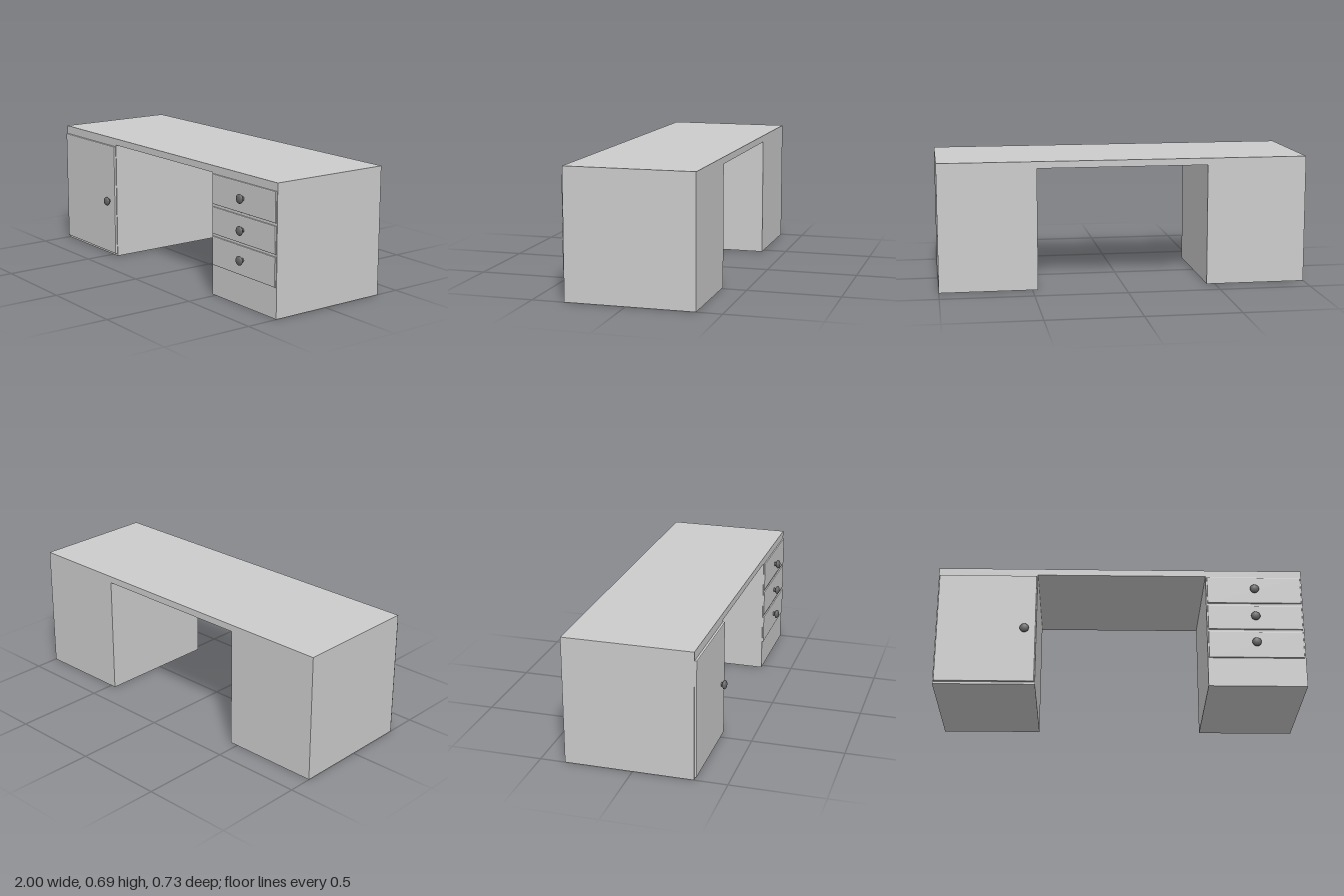
import * as THREE from 'three';

const grey = new THREE.MeshStandardMaterial({ color: 0xcccccc });
const dark = new THREE.MeshStandardMaterial({ color: 0x666666 });
const BACK = -0.365, FRONT = 0.325;

function add(parent, name, geometry, material = grey) {
  const mesh = new THREE.Mesh(geometry, material);
  mesh.name = name;
  parent.add(mesh);
  return mesh;
}

// Flat panel on the front face with a chamfered rim
function panel(parent, name, x0, x1, y0, y1, depth) {
  const b = 0.005;
  const shape = new THREE.Shape([
    new THREE.Vector2(x0 + b, y0 + b), new THREE.Vector2(x1 - b, y0 + b),
    new THREE.Vector2(x1 - b, y1 - b), new THREE.Vector2(x0 + b, y1 - b),
  ]);
  const geo = new THREE.ExtrudeGeometry(shape, {
    depth: depth - b, bevelEnabled: true, bevelThickness: b, bevelSize: b, bevelSegments: 2,
  });
  add(parent, name, geo).position.z = FRONT;
}

// Turned knob: thin stem with a flattened ball
function knob(parent, name, x, y) {
  const points = [[0.014, 0], [0.012, 0.004], [0.012, 0.019]];
  for (let i = 0; i <= 12; i++) {
    const a = -Math.PI / 3 + (i / 12) * (Math.PI * 5 / 6);
    points.push([Math.max(0, 0.025 * Math.cos(a)), 0.029 + 0.0125 * Math.sin(a)]);
  }
  const geo = new THREE.LatheGeometry(points.map(p => new THREE.Vector2(...p)), 32);
  geo.rotateX(Math.PI / 2);
  add(parent, name, geo, dark).position.set(x, y, FRONT);
}

export function createModel() {
  const desk = new THREE.Group();
  desk.name = 'desk';

  // Carcass: one arch-shaped outline covers both pedestals and the top
  const outline = new THREE.Shape([
    [-1, 0], [-0.455, 0], [-0.455, 0.658], [0.47, 0.658],
    [0.47, 0], [1, 0], [1, 0.695], [-1, 0.695],
  ].map(p => new THREE.Vector2(...p)));
  const body = new THREE.ExtrudeGeometry(outline, { depth: FRONT - BACK, bevelEnabled: false });
  add(desk, 'carcass', body).position.z = BACK;

  // Cupboard door
  const cupboard = new THREE.Group();
  cupboard.name = 'cupboard';
  desk.add(cupboard);
  panel(cupboard, 'door', -0.995, -0.46, 0.013, 0.648, 0.012);
  knob(cupboard, 'doorKnob', -0.52, 0.32);

  // Stack of drawers
  [[0.492, 0.652, 0.57], [0.333, 0.478, 0.404], [0.164, 0.32, 0.248]].forEach(([y0, y1, ky], i) => {
    const drawer = new THREE.Group();
    drawer.name = `drawer${i + 1}`;
    desk.add(drawer);
    panel(drawer, 'drawerFront', 0.477, 0.993, y0, y1, 0.008);
    knob(drawer, 'drawerKnob', 0.735, ky);
  });

  return desk;
}
